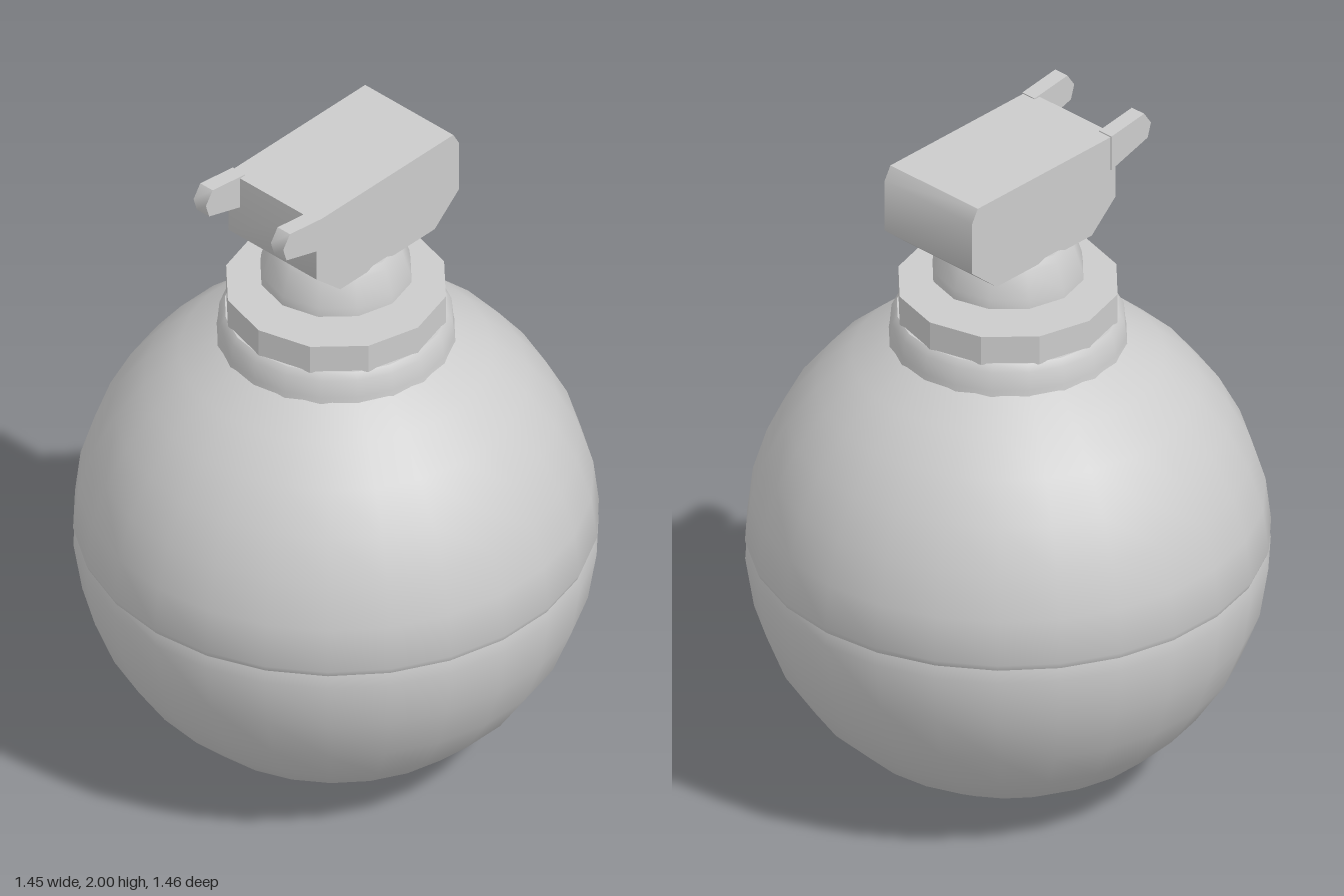
import * as THREE from 'three';
import { toCreasedNormals } from 'three/addons/utils/BufferGeometryUtils.js';

const material = new THREE.MeshStandardMaterial({ color: 0xcccccc });

function addMesh(group, name, geometry, crease) {
  const mesh = new THREE.Mesh(toCreasedNormals(geometry, crease), material);
  mesh.name = name;
  group.add(mesh);
  return mesh;
}

// Turned part from [radius, height] points, listed bottom to top.
function turned(group, name, points, sides, crease) {
  const profile = points.map(([r, y]) => new THREE.Vector2(r, y));
  return addMesh(group, name, new THREE.LatheGeometry(profile, sides), crease);
}

// Side profile of [z, y] points, extruded across x and centred on x = 0.
function sideProfile(group, name, points, width, crease) {
  const shape = new THREE.Shape(points.map(([z, y]) => new THREE.Vector2(z, y)));
  const geometry = new THREE.ExtrudeGeometry(shape, { depth: width, bevelEnabled: false });
  geometry.translate(0, 0, -width / 2);
  geometry.rotateY(-Math.PI / 2);
  return addMesh(group, name, geometry, crease);
}

export function createModel() {
  const model = new THREE.Group();
  model.name = 'roundCanister';

  // Round body: two shells that meet in a faint seam at the equator
  const centre = 0.725, radius = 0.73;
  const arc = (from, to, steps) => Array.from({ length: steps + 1 }, (_, i) => {
    const a = THREE.MathUtils.degToRad(from + (to - from) * i / steps);
    return [radius * Math.cos(a), centre + radius * Math.sin(a)];
  });
  turned(model, 'lowerShell', [...arc(-76, -3, 6), [radius - 0.008, centre]], 26, 0.8);
  turned(model, 'upperShell', [[radius - 0.008, centre], ...arc(1.5, 64, 6)], 26, 0.8);

  // Small flat foot
  turned(model, 'foot', [[0, 0], [0.16, 0], [0.185, 0.022]], 12, 0.5);

  // Collar and faceted ring on top of the body
  turned(model, 'collar', [[0.335, 1.36], [0.33, 1.39], [0.325, 1.445], [0.31, 1.465], [0, 1.465]], 20, 0.7);
  turned(model, 'ring', [[0, 1.46], [0.312, 1.46], [0.312, 1.55], [0, 1.55]], 12, 0.3);

  // Flared neck, set just above the ring
  turned(model, 'neck',
    [[0, 1.583], [0.215, 1.583], [0.212, 1.61], [0.188, 1.685], [0.175, 1.705], [0, 1.705]], 12, 0.75);

  // Head block with a softened rear and underside
  sideProfile(model, 'head', [
    [0.255, 1.98], [-0.295, 1.98], [-0.318, 1.94], [-0.318, 1.78],
    [-0.22, 1.695], [0.16, 1.695], [0.255, 1.78],
  ], 0.335, 0.9);

  // Pair of lugs reaching forward from the head
  for (const side of [1, -1]) {
    const lug = sideProfile(model, side > 0 ? 'leftLug' : 'rightLug', [
      [0.235, 1.983], [0.366, 2], [0.393, 1.96], [0.38, 1.917], [0.235, 1.875],
    ].reverse(), 0.047, 0.9);
    lug.position.x = side * 0.147;
  }

  return model;
}
